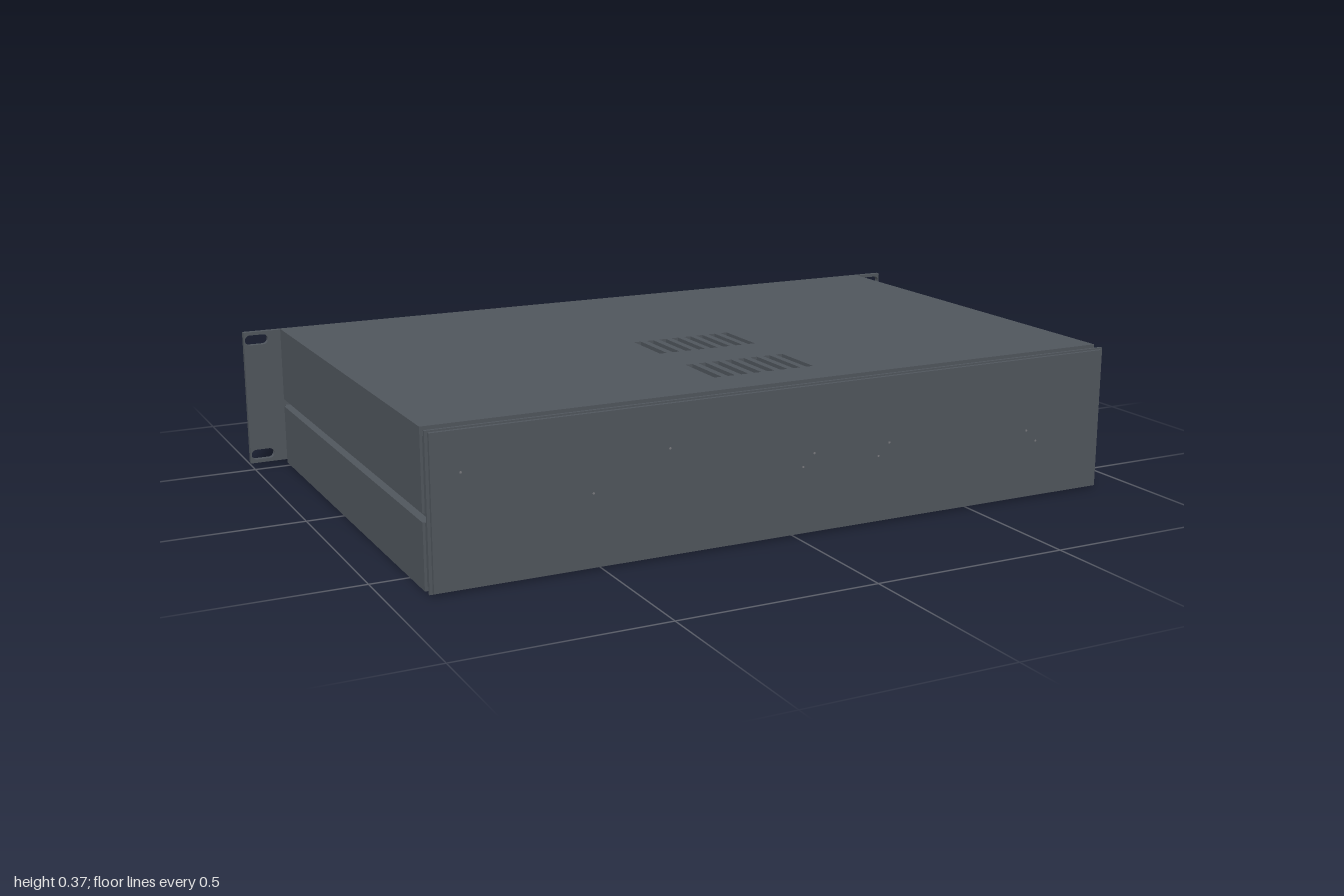
import * as THREE from 'three';

const mat = (name, color) => {
  const m = new THREE.MeshStandardMaterial({ color });
  m.name = name;
  return m;
};

export function createModel() {
  const group = new THREE.Group();
  const steel = mat('painted steel', 0x50565d);
  const metal = mat('handle metal', 0x7b7b7e);
  const blue = mat('display blue', 0x4a9ac8);

  const add = (name, geo, material, x = 0, y = 0, z = 0) => {
    const m = new THREE.Mesh(geo, material);
    m.name = name;
    m.position.set(x, y, z);
    group.add(m);
    return m;
  };
  // box given by its minimum and maximum corners
  const box = (name, material, [x0, y0, z0], [x1, y1, z1]) =>
    add(name, new THREE.BoxGeometry(x1 - x0, y1 - y0, z1 - z0), material,
      (x0 + x1) / 2, (y0 + y1) / 2, (z0 + z1) / 2);

  const rect = (target, x, y, w, h) => {
    target.moveTo(x - w / 2, y - h / 2);
    target.lineTo(x + w / 2, y - h / 2);
    target.lineTo(x + w / 2, y + h / 2);
    target.lineTo(x - w / 2, y + h / 2);
    target.closePath();
    return target;
  };
  const pill = (x, y, w, h) => {
    const p = new THREE.Path(), r = h / 2, s = w / 2 - r;
    p.moveTo(x - s, y - r);
    p.lineTo(x + s, y - r);
    p.absarc(x + s, y, r, -Math.PI / 2, Math.PI / 2, false);
    p.lineTo(x - s, y + r);
    p.absarc(x - s, y, r, Math.PI / 2, Math.PI * 1.5, false);
    return p;
  };
  const plate = (shape, depth) =>
    new THREE.ExtrudeGeometry(shape, { depth, bevelEnabled: false, curveSegments: 8 });

  // Core, seen as the recessed seam and as the floor of the vents
  box('core', steel, [-0.885, 0.01, -0.535], [0.885, 0.35, 0.605]);

  // Top cover with two groups of vent slots
  const top = rect(new THREE.Shape(), 0, 0.035, 1.81, 1.13);
  for (const z of [0.122, 0.411])
    for (let i = 0; i < 8; i++)
      top.holes.push(rect(new THREE.Path(), (i - 3.5) * 0.036, z, 0.019, 0.15));
  const topGeo = plate(top, 0.02);
  topGeo.rotateX(Math.PI / 2);
  add('topCover', topGeo, steel, 0, 0.37, 0);

  // Bottom cover
  box('bottomCover', steel, [-0.905, 0, -0.53], [0.905, 0.012, 0.6]);

  // Side covers, split by a seam, over slightly inset rails
  for (const s of [-1, 1]) {
    const side = s > 0 ? 'left' : 'right';
    for (const [part, y0, y1] of [['Lower', 0.012, 0.157], ['Upper', 0.177, 0.35]]) {
      const x = s * 0.895;
      add(side + part + 'Cover', new THREE.BoxGeometry(0.02, y1 - y0, 1.13), steel,
        x, (y0 + y1) / 2, 0.035);
      add(side + part + 'Rail', new THREE.BoxGeometry(0.02, y1 - y0, 1.165), steel,
        s * 0.889, (y0 + y1) / 2, 0.0375);
    }
  }

  // Closing panel at the +z end: inset flange, lip and outer plate
  box('endFlange', steel, [-0.895, 0.01, 0.614], [0.895, 0.36, 0.624]);
  box('endLip', steel, [-0.905, 0.002, 0.624], [0.905, 0.368, 0.631]);
  box('endPlate', steel, [-0.898, 0.006, 0.631], [0.898, 0.364, 0.64]);
  // Tiny fixings on the closing panel
  for (const [x, y] of [[-0.83, 0.27], [-0.52, 0.18], [-0.33, 0.26], [0.02, 0.17], [0.05, 0.2],
    [0.23, 0.17], [0.26, 0.2], [0.67, 0.18], [0.7, 0.15]])
    add('fixing', new THREE.CircleGeometry(0.003, 8), metal, x, y, 0.6405);

  // Rack panel with mounting slots, vents and a display window
  const panel = rect(new THREE.Shape(), 0, 0.185, 2, 0.36);
  for (const x of [-0.966, 0.966])
    for (const y of [0.028, 0.343]) panel.holes.push(pill(x, y, 0.062, 0.027));
  for (let c = 0; c < 5; c++)
    for (let r = 0; r < 6; r++)
      panel.holes.push(rect(new THREE.Path(), 0.68 - c * 0.192, 0.082 + r * 0.04, 0.16, 0.02));
  panel.holes.push(rect(new THREE.Path(), -0.39, 0.172, 0.3, 0.115));
  add('rackPanel', plate(panel, 0.015), steel, 0, 0, -0.56);

  // Display
  box('display', blue, [-0.536, 0.119, -0.555], [-0.244, 0.225, -0.54]);

  // Handles: upright bar on two posts
  for (const s of [-1, 1]) {
    const x = s * 0.903;
    add('handleBar', new THREE.CylinderGeometry(0.02, 0.02, 0.215, 24), metal, x, 0.184, -0.62);
    for (const y of [0.096, 0.275]) {
      const post = add('handlePost', new THREE.CylinderGeometry(0.015, 0.015, 0.065, 20),
        metal, x, y, -0.5875);
      post.rotation.x = Math.PI / 2;
    }
  }
  return group;
}
